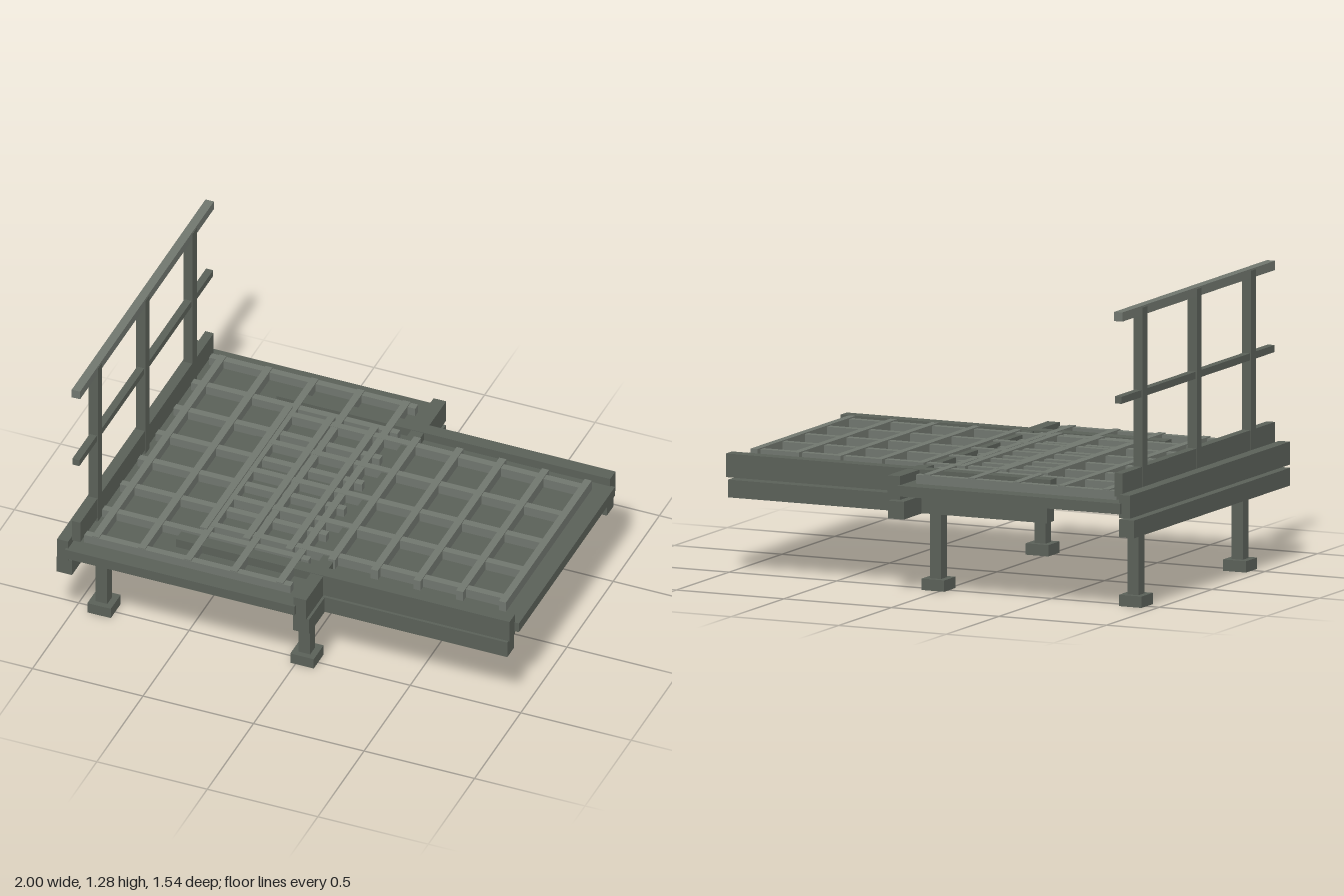
import * as THREE from 'three';

export function createModel() {
  const model = new THREE.Group();
  model.name = 'platform';
  const dark = new THREE.MeshStandardMaterial({ color: 0x5a6058 });
  const light = new THREE.MeshStandardMaterial({ color: 0x70766e });

  // Box given by its limits on each axis
  function box(name, [x0, x1], [y0, y1], [z0, z1], material = dark) {
    const mesh = new THREE.Mesh(new THREE.BoxGeometry(x1 - x0, y1 - y0, z1 - z0), material);
    mesh.position.set((x0 + x1) / 2, (y0 + y1) / 2, (z0 + z1) / 2);
    mesh.name = name;
    model.add(mesh);
  }

  // Wide and narrow deck plates
  box('wideDeck', [-0.95, 0.09], [0.43, 0.475], [-0.77, 0.77]);
  box('narrowDeck', [-0.52, 1.0], [0.432, 0.477], [-0.52, 0.52]);

  // Upper frame beams across the deck
  box('upperEndBeam', [-0.99, -0.94], [0.413, 0.51], [-0.757, 0.757]);
  box('upperCrossBeam', [0.08, 0.137], [0.413, 0.513], [-0.757, 0.757]);

  // Lower beams across the deck
  box('lowerEndBeam', [-1.0, -0.93], [0.328, 0.403], [-0.74, 0.74]);
  box('lowerCrossBeam', [0.07, 0.143], [0.328, 0.403], [-0.74, 0.74]);

  for (const side of [-1, 1]) {
    const span = (a, b) => (side > 0 ? [a, b] : [-b, -a]);
    // Long side beams at both levels
    box('upperSideBeam', [-0.53, 0.98], [0.415, 0.515], span(0.515, 0.573));
    box('lowerSideBeam', [-0.513, 0.97], [0.33, 0.405], span(0.503, 0.573));

    // Legs with square feet
    for (const x of [-0.888, 0.03]) {
      box('leg', [x - 0.026, x + 0.026], [0.04, x < 0 ? 0.43 : 0.432], span(0.467, 0.521));
      box('foot', [x - 0.053, x + 0.053], [0, 0.048], span(0.44, 0.547));
    }
  }

  // Grating: evenly spaced bars in both directions
  function grating(name, xs, xCount, xRange, zs, zCount, zRange, top) {
    const w = 0.016;
    for (let i = 0; i < xCount; i++) {
      const x = THREE.MathUtils.lerp(xs[0], xs[1], i / (xCount - 1));
      box(name + 'CrossBar', [x - w, x + w], [0.47, top], zRange, light);
    }
    for (let i = 0; i < zCount; i++) {
      const z = THREE.MathUtils.lerp(zs[0], zs[1], i / (zCount - 1));
      box(name + 'LongBar', xRange, [0.47, top - 0.005], [z - w, z + w], light);
    }
  }
  grating('wideGrating', [-0.845, -0.012], 5, [-0.895, 0.038], [-0.675, 0.675], 8, [-0.69, 0.69], 0.518);
  grating('narrowGrating', [-0.45, 0.902], 8, [-0.466, 0.918], [-0.42, 0.42], 5, [-0.465, 0.465], 0.524);

  // Guard rail: toe board, posts, middle rail and handrail
  box('toeBoard', [-0.938, -0.9], [0.495, 0.595], [-0.722, 0.722]);
  for (const z of [-0.513, 0, 0.513]) {
    box('railPost', [-0.94, -0.898], [0.47, 1.27], [z - 0.023, z + 0.023]);
  }
  box('middleRail', [-0.935, -0.903], [0.89, 0.92], [-0.724, 0.724]);
  box('handrail', [-0.938, -0.9], [1.238, 1.277], [-0.724, 0.724], light);

  return model;
}
